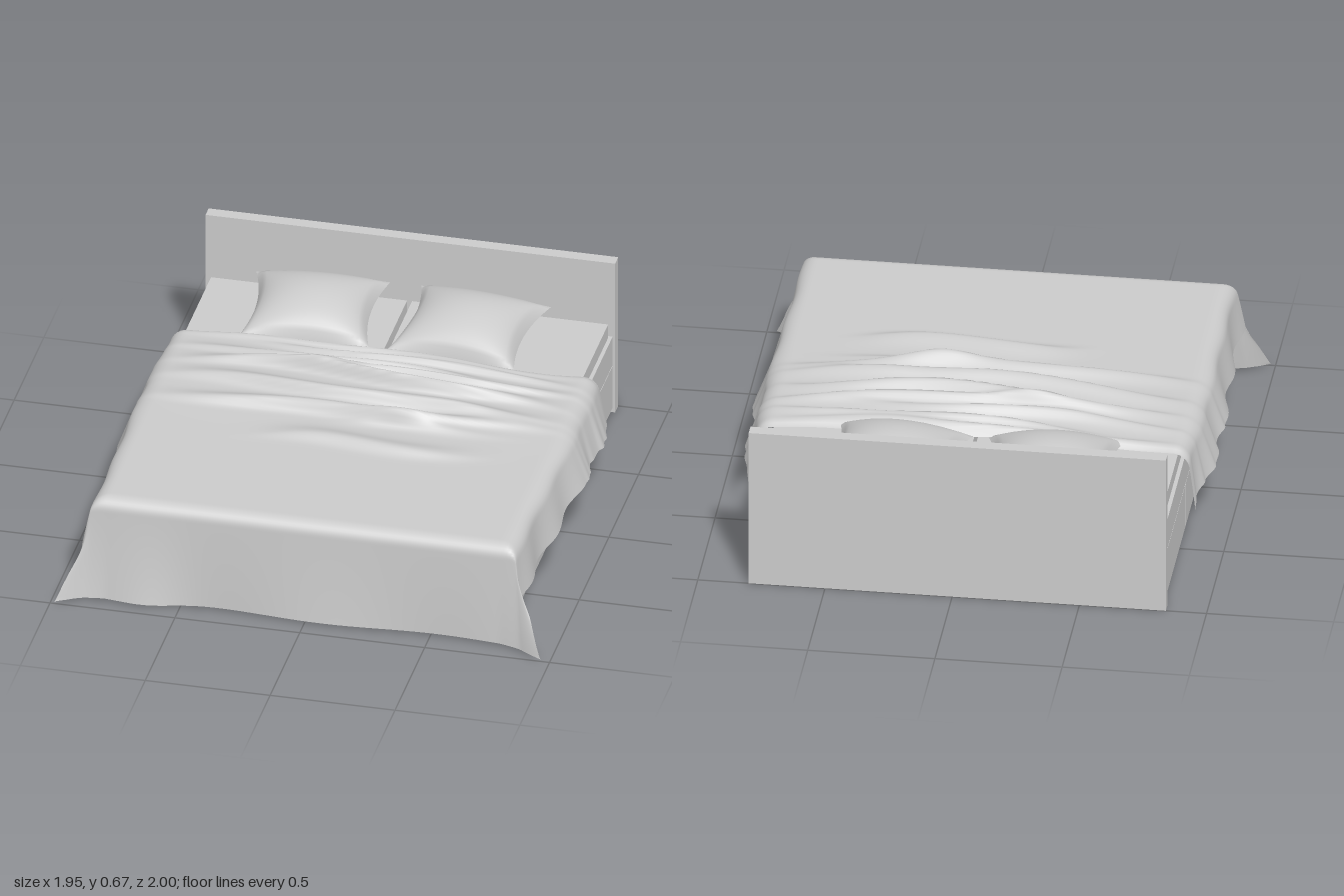
import * as THREE from 'three';

const mat = new THREE.MeshStandardMaterial({ color: 0xcccccc });
const clothMat = new THREE.MeshStandardMaterial({ color: 0xcccccc, side: THREE.DoubleSide });
const CX = -0.02; // centre line of the bed frame

// Box given by its limits on each axis
function box(name, [x0, x1], [y0, y1], [z0, z1]) {
  const m = new THREE.Mesh(new THREE.BoxGeometry(x1 - x0, y1 - y0, z1 - z0), mat);
  m.position.set((x0 + x1) / 2, (y0 + y1) / 2, (z0 + z1) / 2);
  m.name = name;
  return m;
}

// Horizontal grid whose points (u, v in -1..1) are moved by a rule
function sheet(nu, nv, rule) {
  const g = new THREE.PlaneGeometry(2, 2, nu, nv).rotateX(-Math.PI / 2);
  const p = g.attributes.position;
  for (let i = 0; i < p.count; i++) p.setXYZ(i, ...rule(p.getX(i), p.getZ(i)));
  g.computeVertexNormals();
  return g;
}

const bell = (t) => Math.exp(-t * t);

// Blanket wrinkles: z, height, width, centre x, half length, skew, bend
const ridges = [
  [-0.44, 0.030, 0.025, -0.1, 0.8, 0.02, 0.012],
  [-0.38, 0.034, 0.022, 0.3, 0.7, 0.04, 0.010],
  [-0.32, 0.035, 0.025, -0.3, 0.7, 0.02, 0.012],
  [-0.27, 0.045, 0.025, 0.4, 0.6, -0.05, 0.010],
  [-0.21, 0.060, 0.032, 0.0, 0.8, 0.05, 0.018],
  [-0.08, 0.050, 0.040, -0.2, 0.75, 0.05, 0.015],
  [-0.08, 0.030, 0.035, 0.65, 0.35, -0.06, 0.010],
  [0.05, 0.050, 0.040, -0.25, 0.7, 0.02, 0.012],
  [0.02, 0.040, 0.040, 0.45, 0.4, -0.12, 0.012],
  [0.25, 0.030, 0.050, 0.12, 0.38, -0.05, -0.03],
];

function wrinkle(x, z) {
  let h = 0.028 * bell((z + 0.2) / 0.2);
  ridges.forEach(([rz, amp, w, cx, len, skew, bend], i) => {
    const d = z - (rz + skew * (x - cx) + bend * Math.sin(6 * x + i * 1.7));
    h += amp * bell(d / (d > 0 ? w * 0.6 : w * 1.3)) * bell(((x - cx) / len) ** 2);
  });
  return h;
}

function blanket() {
  const H = 0.79, SIDE = 0.24, HEAD = -0.48, FOOT = 0.84, DROP = 0.449, R = 0.05;
  const out = (d) => R * Math.sin(Math.min(d / R, Math.PI / 2));
  const down = (d) => d < R * Math.PI / 2 ? R * (1 - Math.cos(d / R)) : R + d - R * Math.PI / 2;
  const geo = sheet(150, 190, (u, v) => {
    const a = u * (H + SIDE);
    const b = HEAD + (v + 1) / 2 * (FOOT + DROP - HEAD);
    const s = Math.sign(a), dx = Math.max(0, Math.abs(a) - H), dz = Math.max(0, b - FOOT);
    const kx = dx / SIDE, kz = dz / DROP;
    const x0 = s * Math.min(Math.abs(a), H), z0 = Math.min(b, FOOT);
    const h = wrinkle(x0, z0);
    const head = bell((b - HEAD) / 0.12);

    // Side hem hangs a little longer near the head and the foot
    const hem = 1 - 0.1 * bell((b - 0.1) / 0.3) + 0.06 * head;
    const D = Math.pow((dx * hem) ** 4 + dz ** 4, 0.25);
    const lift = h * (1 - (x0 / H) ** 2 * 0.85) * Math.max(0, 1 - kx * 4) * Math.max(0, 1 - kz * 5);
    const y = 0.43 + lift - down(D) - 0.015 * bell((b - HEAD) / 0.02);

    // Gentle vertical folds on the hanging parts, flaring out at the foot corners
    const sideFold = 0.035 * bell((b - 0.05) / 0.4) + 0.012 * Math.sin(b * 17 + s) + 0.3 * h;
    const footFold = 0.012 * Math.sin(a * 7 + 1) + 0.03 * bell((a + 0.62) / 0.14);
    const px = Math.abs(x0) + out(dx) + kx * (0.035 + sideFold * (1 - kz)) + 0.1 * kx * kz * kz;
    const pz = z0 + out(dz) + kz * 0.025 + footFold * kz * kz * (1 - kx) + 0.085 * kx * kz * kz
      - head * (0.05 * Math.abs(u) ** 6 + 0.012 * Math.sin(a * 8));
    return [s * px - 0.01, Math.max(0.008, y), pz];
  });
  const m = new THREE.Mesh(geo, clothMat);
  m.name = 'blanket';
  return m;
}

// Cushion with pinched corners: a high top shell and a shallow bottom shell
function pillow(name, x, turn) {
  const g = new THREE.Group();
  g.name = name;
  for (const height of [0.115, -0.05]) {
    const geo = sheet(28, 28, (u, v) => [
      0.265 * u * (1 - 0.15 * (1 - v * v)),
      height * Math.sqrt((1 - u * u) * (1 - v * v)),
      0.235 * v * (1 - 0.1 * (1 - u * u)),
    ]);
    const m = new THREE.Mesh(geo, clothMat);
    m.name = height > 0 ? 'pillowTop' : 'pillowBottom';
    g.add(m);
  }
  g.position.set(x, 0.447, -0.695);
  g.rotation.set(0.08, turn, 0);
  return g;
}

export function createModel() {
  const bed = new THREE.Group();
  bed.name = 'bed';

  // Frame
  bed.add(box('headboard', [CX - 0.82, CX + 0.82], [0, 0.67], [-1, -0.948]));
  bed.add(box('footboard', [CX - 0.81, CX + 0.81], [0.005, 0.34], [0.855, 0.88]));
  for (const s of [-1, 1]) {
    const side = s < 0 ? 'right' : 'left';
    const span = (p, q) => [CX + s * p, CX + s * q].sort((m, n) => m - n);
    bed.add(box(side + 'Rail', span(0.785, 0.81), [0.212, 0.34], [-0.948, 0.855]));
    // Three drawer fronts under each rail
    const cuts = [-0.946, -0.35, 0.26, 0.853];
    for (let i = 0; i < 3; i++) {
      bed.add(box(side + 'DrawerFront', span(0.79, 0.81), [0.02, 0.208],
        [cuts[i] + 0.002, cuts[i + 1] - 0.002]));
    }
    // Base panel and mattress of each half
    bed.add(box(side + 'BasePanel', span(0.005, 0.785), [0.212, 0.335], [-0.948, 0.855]));
    bed.add(box(side + 'Mattress', span(0.01, 0.795), [0.34, 0.4], [-0.935, 0.84]));
  }

  // Bedding
  bed.add(pillow('rightPillow', -0.35, 0.06));
  bed.add(pillow('leftPillow', 0.27, -0.08));
  bed.add(blanket());
  return bed;
}
